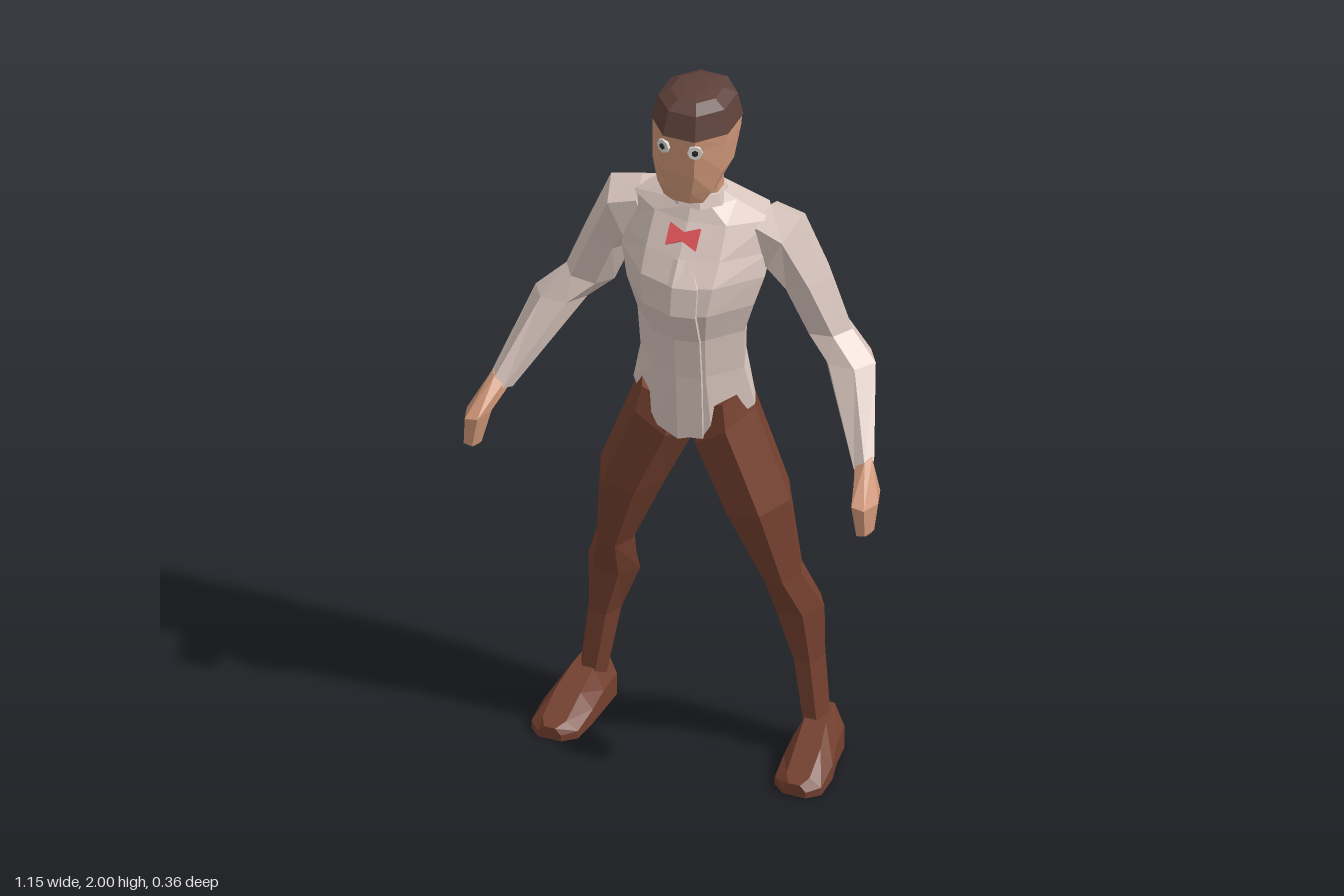
import * as THREE from 'three';

const mat = (name, color, side = THREE.FrontSide) => {
  const m = new THREE.MeshStandardMaterial({ color, flatShading: true, side });
  m.name = name;
  return m;
};

// Flat-shaded skin through closed rings of points, capped at both ends
function loft(rings) {
  const tris = [], n = rings[0].length;
  for (let r = 0; r < rings.length - 1; r++) {
    for (let i = 0; i < n; i++) {
      const j = (i + 1) % n, a = rings[r], b = rings[r + 1];
      tris.push([a[i], a[j], b[j]], [a[i], b[j], b[i]]);
    }
  }
  const cap = (ring, flip) => {
    const c = ring.reduce((s, p) => s.add(p), new THREE.Vector3()).divideScalar(n);
    ring.forEach((p, i) => {
      const q = ring[(i + 1) % n];
      tris.push(flip ? [c, q, p] : [c, p, q]);
    });
  };
  cap(rings[0], true);
  cap(rings[rings.length - 1], false);
  // Turn the faces outward when the enclosed volume is negative
  const volume = tris.reduce((s, [a, b, c]) => s + a.dot(b.clone().cross(c)), 0);
  if (volume < 0) tris.forEach(t => t.reverse());
  const g = new THREE.BufferGeometry().setFromPoints(tris.flat());
  g.computeVertexNormals();
  return g;
}

// Ring of a head or neck: [y, half width, front z, back z], eight sides
const octRing = ([y, hw, zf, zb]) => Array.from({ length: 8 }, (_, i) => {
  const a = (i + 0.5) * Math.PI / 4, k = 1 / Math.cos(Math.PI / 8);
  return new THREE.Vector3(hw * k * Math.cos(a), y, (zf + zb) / 2 + (zf - zb) / 2 * k * Math.sin(a));
});

// Ring of a limb: [outer x, outer y, inner x, inner y, front z, back z], six sides
const limbRing = side => ([ox, oy, ix, iy, zf, zb]) => Array.from({ length: 6 }, (_, i) => {
  const a = i * Math.PI / 3, c = Math.cos(a) / 2, s = Math.sin(a) / 0.866;
  return new THREE.Vector3(side * ((ox + ix) / 2 + c * (ox - ix)), (oy + iy) / 2 + c * (oy - iy),
    (zf + zb) / 2 + s * (zf - zb) / 2);
});

const ARM = [
  [0.18, 1.645, 0.13, 1.50, -0.03, -0.17],
  [0.265, 1.63, 0.18, 1.46, -0.02, -0.175],
  [0.34, 1.455, 0.21, 1.42, -0.05, -0.18],
  [0.40, 1.305, 0.265, 1.29, -0.07, -0.17],
  [0.475, 1.235, 0.33, 1.235, -0.04, -0.15],
  [0.535, 1.04, 0.475, 1.01, 0.085, 0.03],
];
const HAND = [
  [0.53, 1.05, 0.48, 1.02, 0.08, 0.035],
  [0.575, 0.96, 0.505, 0.97, 0.18, 0.07],
  [0.572, 0.89, 0.525, 0.88, 0.18, 0.11],
  [0.56, 0.87, 0.535, 0.865, 0.15, 0.12],
];
const LEG = [
  [0.15, 1.12, 0, 1.06, 0.06, -0.12],
  [0.168, 1.06, 0, 0.95, 0.075, -0.13],
  [0.265, 0.80, 0.085, 0.77, 0.072, -0.125],
  [0.285, 0.56, 0.185, 0.55, 0.01, -0.115],
  [0.33, 0.44, 0.185, 0.43, -0.04, -0.16],
  [0.33, 0.29, 0.24, 0.29, -0.055, -0.155],
  [0.35, 0.09, 0.275, 0.09, -0.05, -0.135],
];
// Shoe sections along z: [z, centre x, half width, height]
const SHOE = [
  [-0.155, 0.315, 0.042, 0.06], [-0.13, 0.318, 0.055, 0.13], [-0.05, 0.325, 0.06, 0.12],
  [0.02, 0.335, 0.068, 0.085], [0.10, 0.34, 0.065, 0.045], [0.13, 0.342, 0.032, 0.035],
];
// Jacket sections from hem to neck: [y, half width, front z, back z]
const JACKET = [
  [0.99, 0.17, 0.09, -0.14], [1.19, 0.145, 0.10, -0.125], [1.31, 0.15, 0.112, -0.12],
  [1.40, 0.178, 0.14, -0.14], [1.48, 0.20, 0.128, -0.168], [1.54, 0.205, 0.085, -0.182],
  [1.62, 0.20, 0.025, -0.175], [1.66, 0.10, 0.005, -0.145], [1.685, 0.068, 0.0, -0.12],
];
// Jacket cross-section, one half from front to back
const HALF = [[0.5, 0.8], [1, 0.05], [0.78, -0.75], [0.35, -1]];

export function createModel() {
  const model = new THREE.Group();
  const jacketMat = mat('jacket cream', 0xd8c5bd, THREE.DoubleSide);
  const brown = mat('trouser brown', 0x74402f);
  const skin = mat('skin', 0xcd9577);
  const hairMat = mat('hair brown', 0x5e413a);
  const red = mat('tie red', 0xe2555a);
  const white = mat('eye white', 0xdcd8d4);
  const dark = mat('pupil dark', 0x2e2a2a);
  const add = (name, geometry, material, parent = model) => {
    const m = new THREE.Mesh(geometry, material);
    m.name = name;
    parent.add(m);
    return m;
  };

  // Jacket body, with a hem that rises towards the hips
  const outline = [[0, 1], ...HALF, [0, -0.97], ...HALF.map(([x, z]) => [-x, z]).reverse()];
  add('jacket', loft(JACKET.map(([y, hw, zf, zb], r) => outline.map(([x, z]) => new THREE.Vector3(
    x * hw, y + (r === 0 ? 0.085 * x * x : 0), (zf + zb) / 2 + z * (zf - zb) / 2)))), jacketMat);

  // Overlapping front edge of the jacket
  add('frontFlap', loft(JACKET.slice(0, 6).map(([y, , zf], r) => {
    const top = r === 5 ? 0.03 : 0.065;
    return [[-0.03, -0.012], [0, 0.003], [top, -0.01], [top, -0.035]].map(
      ([x, dz]) => new THREE.Vector3(x, y + (r === 0 ? 0.01 : 0), zf + dz));
  })), jacketMat);

  // Neck, face and hair
  add('neck', loft([[1.64, 0.062, -0.005, -0.115], [1.70, 0.058, -0.005, -0.108],
    [1.82, 0.06, 0.0, -0.10]].map(octRing)), skin);
  add('head', loft([[1.71, 0.055, 0.07, 0.01], [1.745, 0.076, 0.076, -0.025], [1.80, 0.098, 0.08, -0.105],
    [1.88, 0.104, 0.08, -0.15], [1.915, 0.105, 0.08, -0.16]].map(octRing)), skin);
  add('hair', loft([[1.91, 0.107, 0.083, -0.163], [1.975, 0.093, 0.062, -0.148],
    [1.995, 0.062, 0.03, -0.11], [2.0, 0.03, 0.0, -0.07]].map(octRing)), hairMat);

  // Shirt collar
  add('collar', loft([[1.66, 0.075, 0.018, -0.125], [1.69, 0.066, 0.006, -0.118]].map(octRing)), jacketMat);

  // Bow tie lying on the sloping chest
  const bow = new THREE.Shape([[-0.042, 0.03], [0, 0.012], [0.042, 0.03], [0.042, -0.03], [0, -0.012],
    [-0.042, -0.03]].map(([x, y]) => new THREE.Vector2(x, y)));
  const tie = add('bowTie', new THREE.ExtrudeGeometry(bow, { depth: 0.008, bevelEnabled: false }), red);
  tie.position.set(0, 1.59, 0.052);
  tie.rotation.x = -0.64;

  for (const side of [1, -1]) {
    const half = new THREE.Group();
    half.name = side > 0 ? 'leftSide' : 'rightSide';
    model.add(half);
    const ring = limbRing(side);
    add('sleeve', loft(ARM.map(ring)), jacketMat, half);
    add('hand', loft(HAND.map(ring)), skin, half);
    add('trouserLeg', loft(LEG.map(ring)), brown, half);
    add('shoe', loft(SHOE.map(([z, x, w, h]) => [[-1, 0], [-1, 0.5], [-0.5, 1], [0.5, 1], [1, 0.5], [1, 0]].map(
      ([u, v]) => new THREE.Vector3(side * (x + u * w), v * h, z)))), brown, half);

    // Eye discs wrapped towards the temples
    const eye = new THREE.Group();
    eye.name = 'eye';
    eye.position.set(side * 0.044, 1.878, 0.08);
    eye.rotation.y = side * 0.35;
    half.add(eye);
    const ball = add('eyeWhite', new THREE.CylinderGeometry(0.02, 0.02, 0.008, 8), white, eye);
    const pupil = add('pupil', new THREE.CylinderGeometry(0.009, 0.009, 0.009, 6), dark, eye);
    ball.rotation.x = pupil.rotation.x = Math.PI / 2;
    pupil.position.z = 0.002;
  }
  return model;
}
